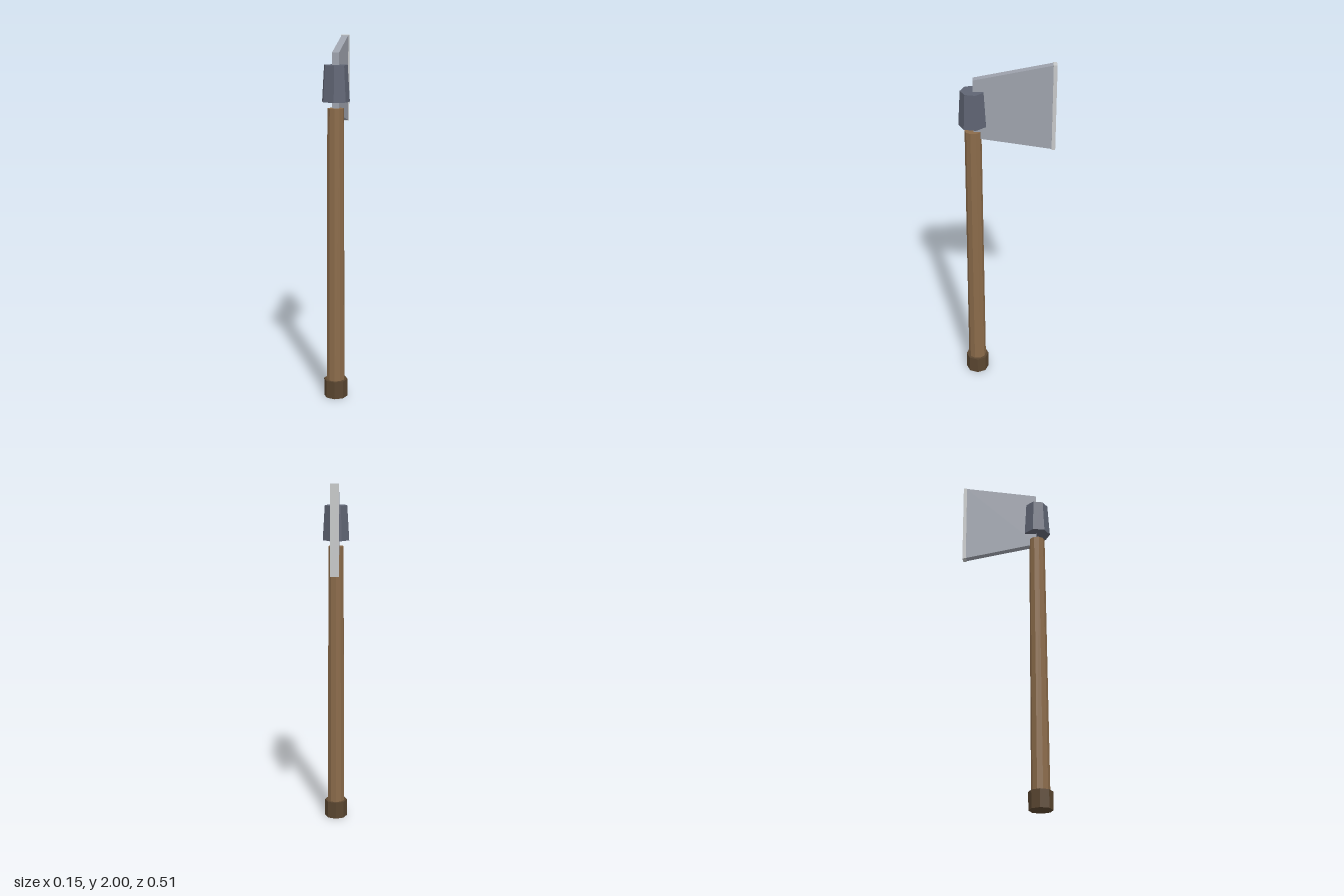
import * as THREE from 'three';

const material = (name, color, flatShading = true) => {
  const m = new THREE.MeshStandardMaterial({ color, flatShading });
  m.name = name;
  return m;
};

export function createModel() {
  const wood = material('wood', 0x8b6b4a);
  const darkWood = material('darkWood', 0x5a4630);
  const iron = material('iron', 0x5f6473);
  const steel = material('steel', 0x9da2ac);
  const brightSteel = material('brightSteel', 0xc6c8c9);

  const axe = new THREE.Group();
  axe.name = 'axe';
  const shaftZ = 0.18;

  const add = (name, geometry, mat, y, z) => {
    const mesh = new THREE.Mesh(geometry, mat);
    mesh.name = name;
    mesh.position.set(0, y, z);
    axe.add(mesh);
    return mesh;
  };
  // Tapered round part standing between two heights on the shaft axis
  const post = (name, rTop, rBottom, y0, y1, sides, mat) =>
    add(name, new THREE.CylinderGeometry(rTop, rBottom, y1 - y0, sides), mat, (y0 + y1) / 2, shaftZ);

  post('pommel', 0.066, 0.066, 0, 0.1, 8, darkWood);
  post('handle', 0.045, 0.051, 0.05, 1.625, 10, wood);
  post('headSocket', 0.065, 0.077, 1.66, 1.855, 7, iron);

  // Blade: flat plate flaring toward the back, drawn as (-z, y)
  const outline = new THREE.Shape([
    new THREE.Vector2(-0.178, 1.59),
    new THREE.Vector2(0.24, 1.517),
    new THREE.Vector2(0.24, 1.998),
    new THREE.Vector2(-0.178, 1.92),
  ]);
  const bladeGeometry = new THREE.ExtrudeGeometry(outline, { depth: 0.038, bevelEnabled: false });
  bladeGeometry.translate(0, 0, -0.019).rotateY(Math.PI / 2);
  add('blade', bladeGeometry, steel, 0, 0);

  // Sharpened strip along the back of the blade
  add('cuttingEdge', new THREE.BoxGeometry(0.046, 0.486, 0.02), brightSteel, 1.757, -0.248);

  return axe;
}
